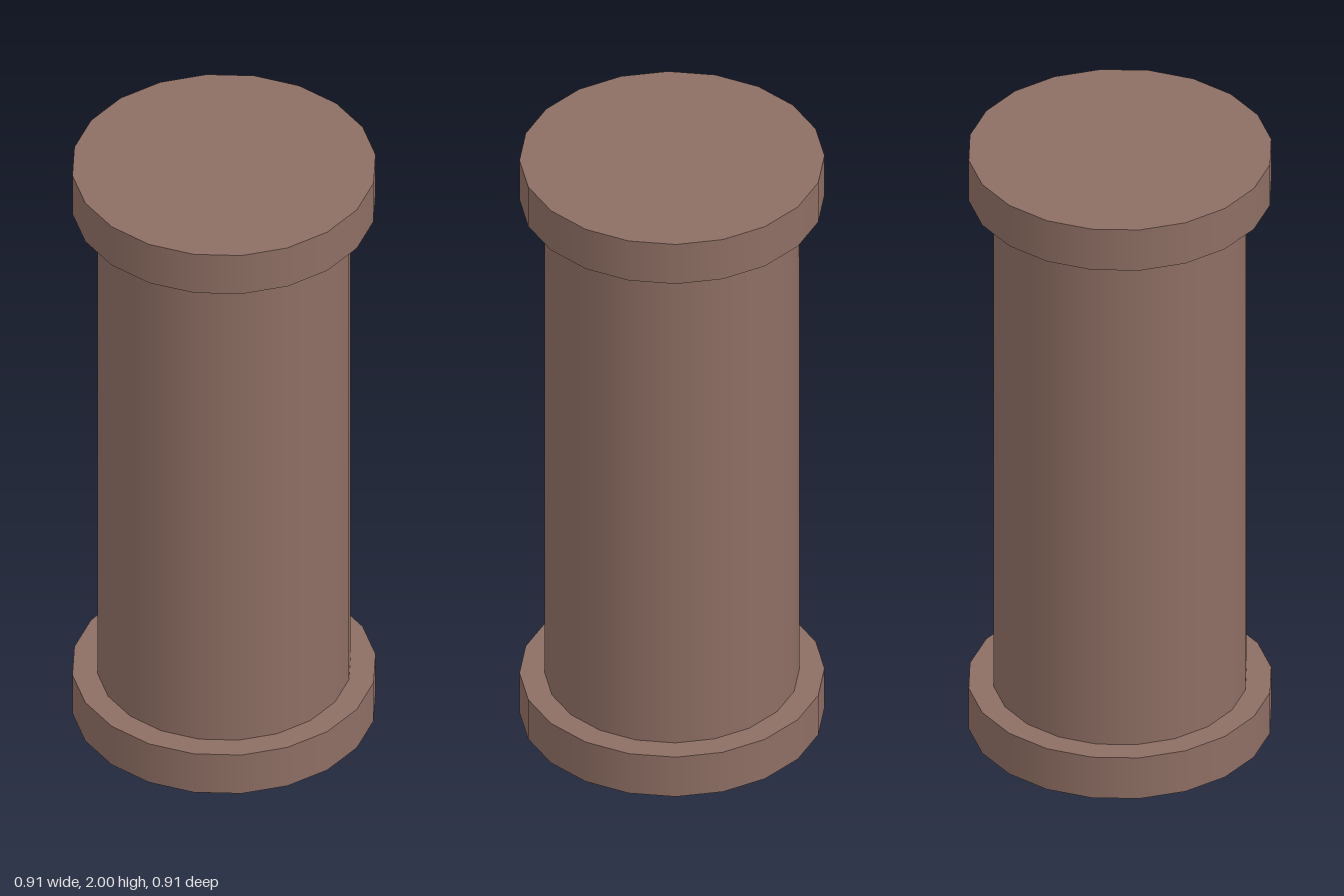
import * as THREE from 'three';

const SIDES = 20;

export function createModel() {
  const group = new THREE.Group();
  group.name = 'column';
  const material = new THREE.MeshStandardMaterial({ color: 0x8d6e63 });

  // Upright round section between two heights
  const addDrum = (name, radius, bottom, top) => {
    const height = top - bottom;
    const mesh = new THREE.Mesh(new THREE.CylinderGeometry(radius, radius, height, SIDES), material);
    mesh.name = name;
    mesh.position.y = bottom + height / 2;
    group.add(mesh);
  };

  addDrum('base', 0.455, 0, 0.143);
  addDrum('shaft', 0.38, 0.143, 1.857);
  addDrum('capital', 0.455, 1.857, 2);

  return group;
}
